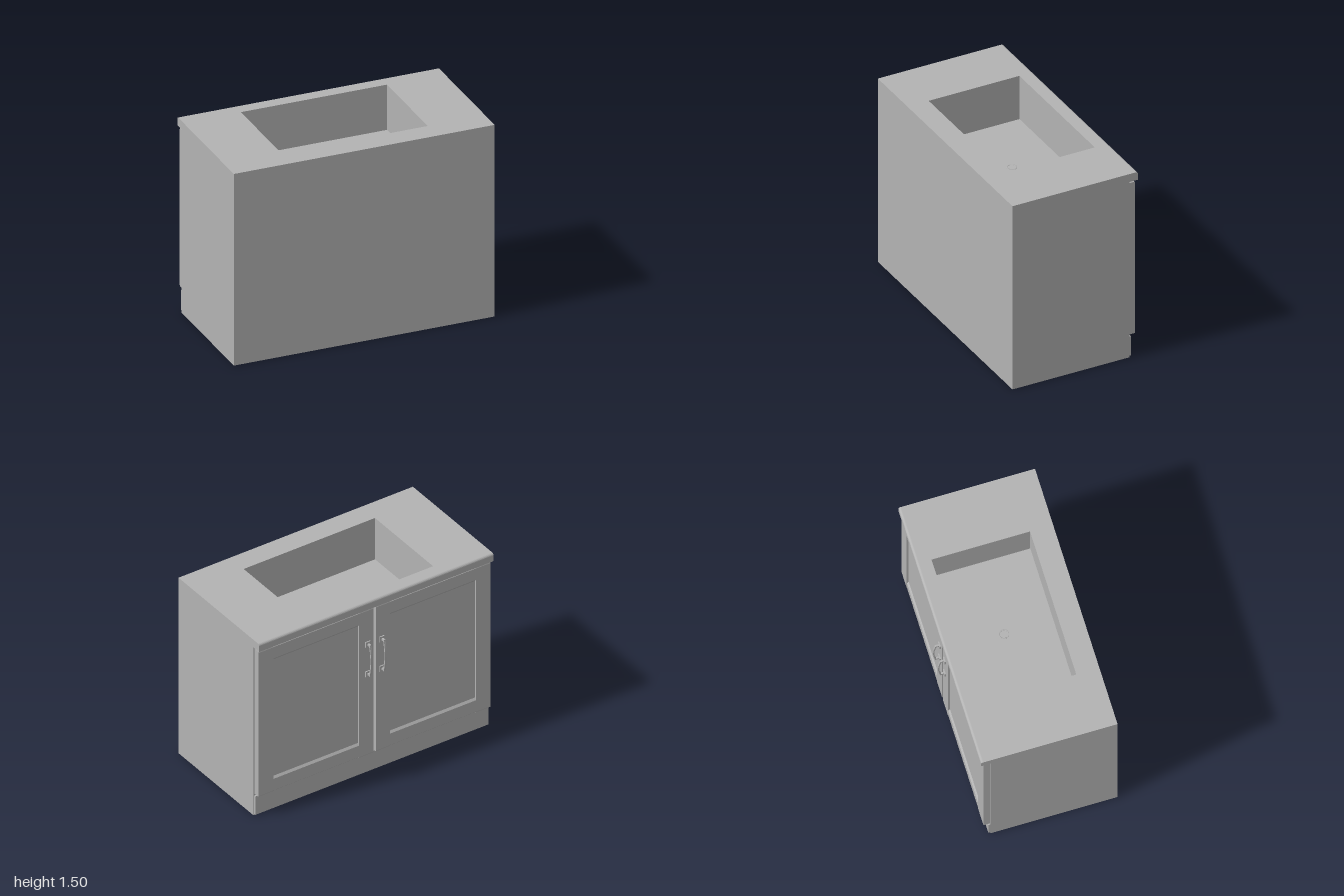
import * as THREE from 'three';

export function createModel() {
  const root = new THREE.Group();
  root.name = 'sinkCabinet';
  const grey = new THREE.MeshStandardMaterial({ color: 0xb3b3b3, side: THREE.DoubleSide });
  grey.name = 'plain grey';

  const add = (name, geo, parent = root) => {
    const m = new THREE.Mesh(geo, grey);
    m.name = name;
    parent.add(m);
    return m;
  };
  // box given by its extents
  const box = (x0, x1, y0, y1, z0, z1) =>
    new THREE.BoxGeometry(x1 - x0, y1 - y0, z1 - z0)
      .translate((x0 + x1) / 2, (y0 + y1) / 2, (z0 + z1) / 2);
  // same, without its top face
  const openBox = (...e) => {
    const g = box(...e);
    const idx = Array.from(g.index.array);
    idx.splice(12, 6);
    g.setIndex(idx);
    g.clearGroups();
    return g;
  };
  const rect = (T, x0, x1, y0, y1) =>
    new T().moveTo(x0, y0).lineTo(x1, y0).lineTo(x1, y1).lineTo(x0, y1).closePath();
  // profile of [z, y] points swept along x
  const sweepX = (pts, x0, x1) => {
    const s = new THREE.Shape(pts.map(([z, y]) => new THREE.Vector2(-z, y)));
    return new THREE.ExtrudeGeometry(s, { depth: x1 - x0, bevelEnabled: false })
      .rotateY(Math.PI / 2).translate(x0, 0, 0);
  };

  // Carcass and plinth
  add('carcass', openBox(-1, 1, 0, 1.465, -0.415, 0.52));
  add('plinth', box(-0.995, 0.995, 0.01, 0.167, -0.43, -0.415));

  // Worktop with sink cut-out
  const top = rect(THREE.Shape, -1, 1, -0.52, 0.415);
  top.holes.push(rect(THREE.Path, -0.56, 0.56, -0.35, 0.375));
  add('worktop', new THREE.ExtrudeGeometry(top, { depth: 0.035, bevelEnabled: false })
    .rotateX(-Math.PI / 2).translate(0, 1.465, 0));

  // Rounded front lip of the worktop
  const lip = [[-0.415, 1.435], [-0.485, 1.435]];
  for (let i = 0; i <= 6; i++) {
    const a = (i / 6) * Math.PI / 2, r = 0.018;
    lip.push([-0.485 + r - r * Math.cos(a), 1.5 - r + r * Math.sin(a)]);
  }
  lip.push([-0.415, 1.5]);
  add('worktopLip', sweepX(lip, -1, 1));

  // Basin and drain
  add('basin', openBox(-0.562, 0.562, 1.145, 1.466, -0.377, 0.352));
  const ring = [[0.03, 0], [0.03, 0.004], [0.037, 0.004], [0.037, 0]]
    .map(p => new THREE.Vector2(...p));
  add('drainRing', new THREE.LatheGeometry(ring, 32).translate(0, 1.145, -0.012));
  add('drainPlug', new THREE.CylinderGeometry(0.028, 0.028, 0.003, 32).translate(0, 1.1465, -0.012));

  // Doors: stiles with a rounded front edge, rails, recessed panel with sloped borders
  const F = -0.465, P = -0.45, Y0 = 0.18, Y1 = 1.42, B = -0.415;
  for (const side of [1, -1]) {
    const door = new THREE.Group();
    door.name = side > 0 ? 'leftDoor' : 'rightDoor';
    root.add(door);
    const span = (a, b) => (side > 0 ? [a, b] : [-b, -a]);
    const c = 0.008;
    const stile = [[B, Y0], [F + c, Y0], [F + 0.002, Y0 + 0.002], [F, Y0 + c],
      [F, Y1 - c], [F + 0.002, Y1 - 0.002], [F + c, Y1], [B, Y1]];
    add('outerStile', sweepX(stile, ...span(0.865, 0.99)), door);
    add('innerStile', sweepX(stile, ...span(0.01, 0.132)), door);
    const [x0, x1] = span(0.132, 0.865);
    add('panel', box(x0, x1, Y0 + 0.1, Y1 - 0.1, B, P), door);
    const f = F + 0.002;
    add('bottomRail', sweepX([[B, Y0], [f + c, Y0], [f, Y0 + c], [f, Y0 + 0.105],
      [P, Y0 + 0.122], [B, Y0 + 0.122]], x0, x1), door);
    add('topRail', sweepX([[B, Y1], [f + c, Y1], [f, Y1 - c], [f, Y1 - 0.105],
      [P, Y1 - 0.122], [B, Y1 - 0.122]], x0, x1), door);

    // Bow handle: two base plates, two posts and a curved grip
    const handle = new THREE.Group();
    handle.name = 'handle';
    door.add(handle);
    const hx = 0.06 * side, w = 0.007;
    for (const y of [0.877, 1.128]) {
      add('handlePlate', box(hx - 0.021, hx + 0.021, y - 0.023, y + 0.023, -0.474, F), handle);
      add('handlePost', box(hx - w, hx + w, y - 0.008, y + 0.008, -0.502, -0.47), handle);
    }
    const outer = [], inner = [];
    for (let i = 0; i <= 16; i++) {
      const t = i / 16 * 2 - 1, bow = 0.017 * (1 - t * t);
      outer.push([-0.5 - bow, 1.0025 + 0.134 * t]);
      inner.unshift([-0.491 - bow, 1.0025 + 0.126 * t]);
    }
    add('handleGrip', sweepX([...outer, ...inner], hx - w, hx + w), handle);
  }
  return root;
}
